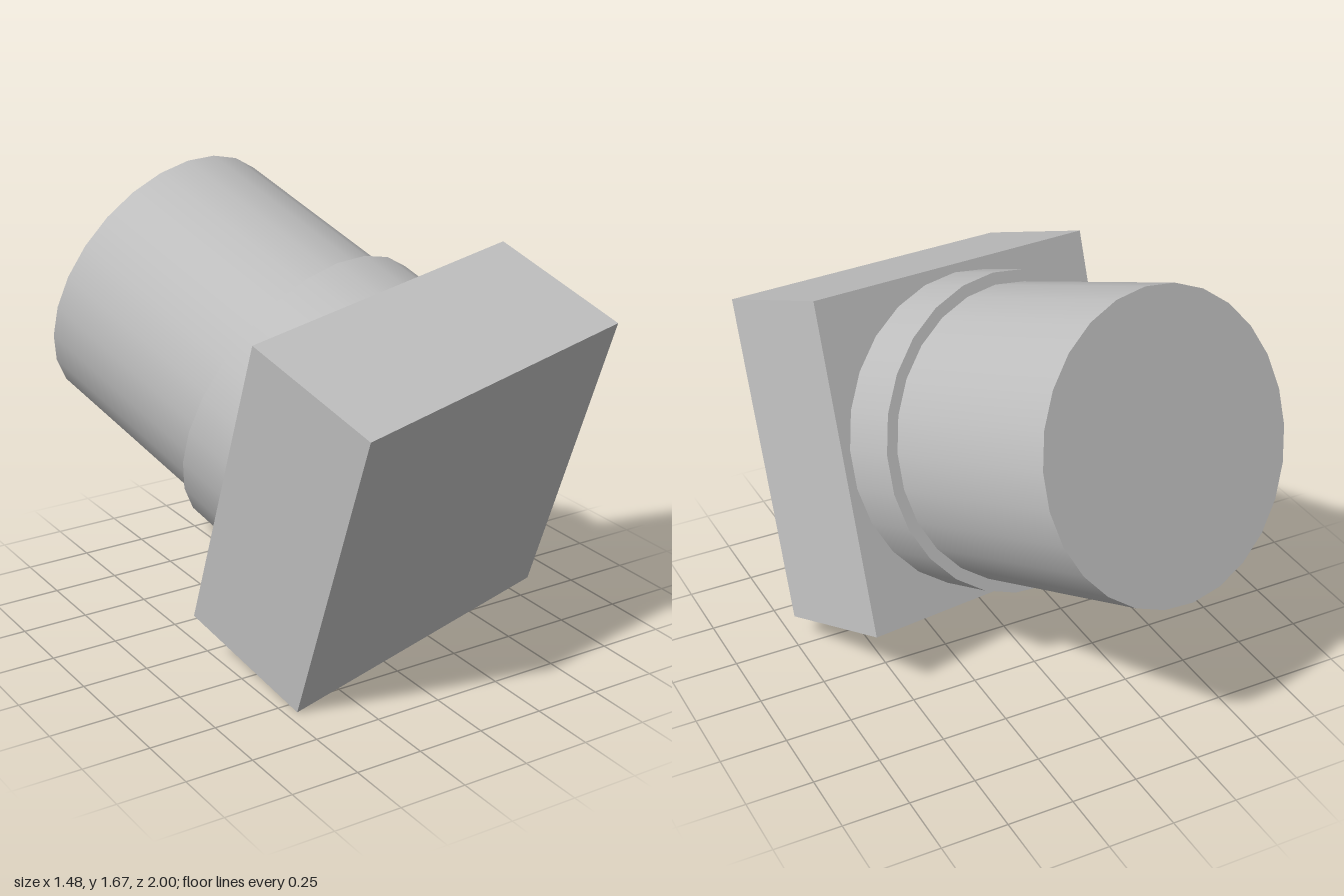
import * as THREE from 'three';

export function createModel() {
  const model = new THREE.Group();
  model.name = 'cylinderOnBlock';
  const grey = new THREE.MeshStandardMaterial({ color: 0xbfbfbf });
  grey.name = 'plain grey';

  // Tilted assembly: origin at the middle of the block's front face, local -z runs along the barrel
  const body = new THREE.Group();
  body.name = 'tiltedBody';
  body.position.set(0.14, 0.627, 0.65);
  body.rotation.set(0.365, 0.228, 0);
  model.add(body);

  const blockSize = 1.231, blockDepth = 0.55;
  const block = new THREE.Mesh(new THREE.BoxGeometry(blockSize, blockSize, blockDepth), grey);
  block.name = 'block';
  block.position.z = -blockDepth / 2;
  body.add(block);

  // Round part between two depths behind the front face
  const addRound = (name, radius, from, to) => {
    const geometry = new THREE.CylinderGeometry(radius, radius, to - from, 26);
    geometry.rotateX(-Math.PI / 2);
    const mesh = new THREE.Mesh(geometry, grey);
    mesh.name = name;
    mesh.position.z = -(from + to) / 2;
    body.add(mesh);
  };
  addRound('collar', 0.585, blockDepth, 0.777);
  addRound('barrel', 0.541, 0.777, 1.567);

  return model;
}
